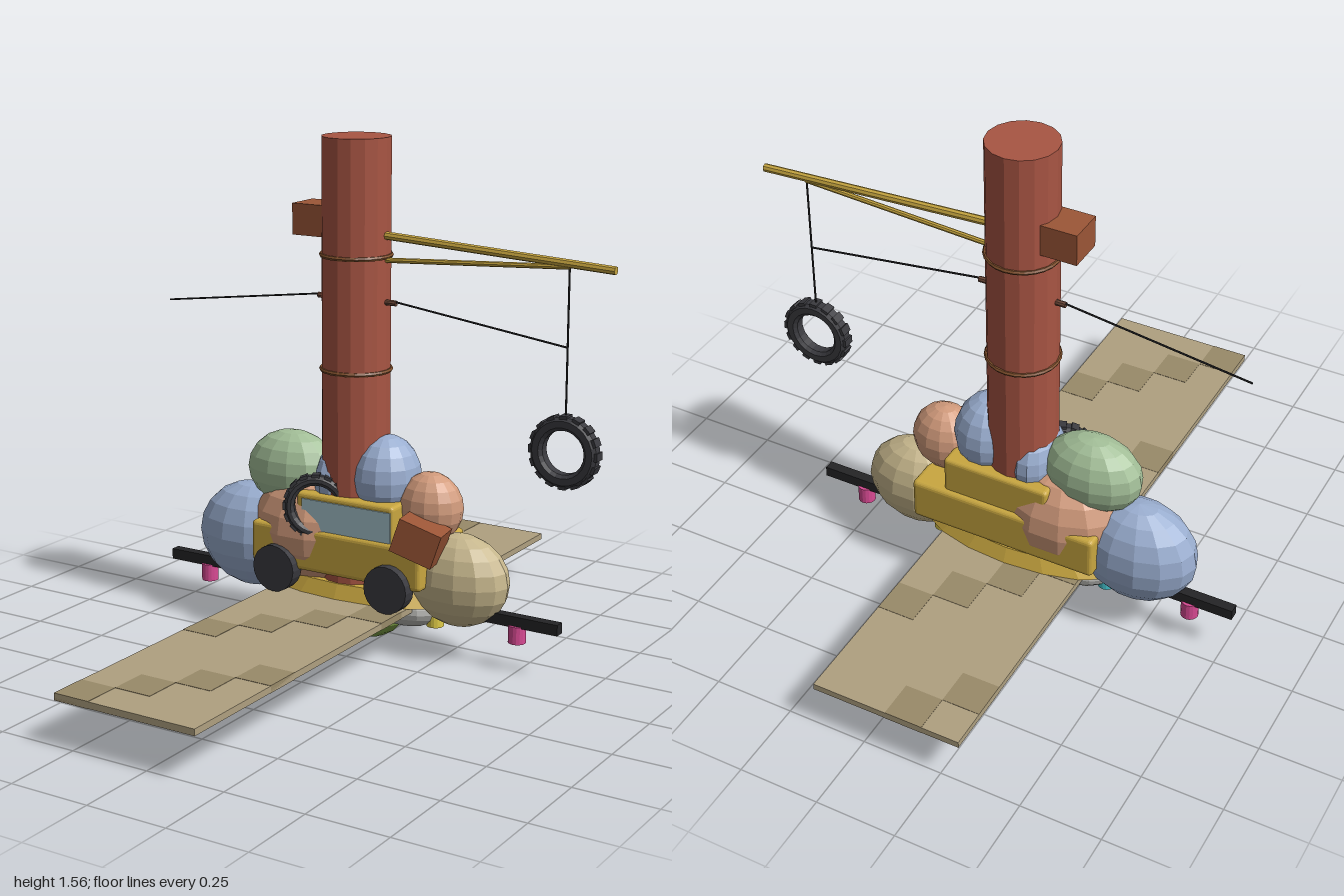
import * as THREE from 'three';
import { RoundedBoxGeometry } from 'three/addons/geometries/RoundedBoxGeometry.js';

const Z = -0.178; // depth of the main plane
const PX = -0.075; // x of the pole

const mat = (color, flat = true) => new THREE.MeshStandardMaterial({ color, flatShading: flat });
const brick = mat(0xa85543), gold = mat(0xc9a740), dark = mat(0x3a3a3f), black = mat(0x242426);
const crate = mat(0x9c5637), pink = mat(0xd84a93), grey = mat(0xb4b4b0);
const blue = mat(0x9aaed0), green = mat(0xa3bf98), orange = mat(0xd29b7c), tan = mat(0xc6b68c);

export function createModel() {
  const root = new THREE.Group();
  root.name = 'model';

  const add = (name, geo, material, x, y, z, parent = root) => {
    const m = new THREE.Mesh(geo, material);
    m.name = name;
    m.position.set(x, y, z);
    parent.add(m);
    return m;
  };
  const box = (name, material, x, y, z, w, h, d) =>
    add(name, new THREE.BoxGeometry(w, h, d), material, x, y, z);
  const cyl = (name, material, x, y, z, r, h, n = 16) =>
    add(name, new THREE.CylinderGeometry(r, r, h, n), material, x, y, z);
  const blob = (name, material, x, y, rx, ry, rz) =>
    add(name, new THREE.SphereGeometry(1, 14, 10), material, x, y, Z).scale.set(rx, ry, rz);
  // straight rod between two points in the main plane
  const rod = (name, material, x1, y1, x2, y2, r, n = 8) => {
    const m = cyl(name, material, (x1 + x2) / 2, (y1 + y2) / 2, Z, r, Math.hypot(x2 - x1, y2 - y1), n);
    m.rotation.z = Math.atan2(y2 - y1, x2 - x1) - Math.PI / 2;
    return m;
  };
  // tyre with its axle along z
  const tyre = (name, x, y, z, R, r, w) => {
    const g = new THREE.Group();
    g.name = name;
    g.position.set(x, y, z);
    root.add(g);
    const h = w / 2;
    const profile = [[r, -h * 0.6], [r + 0.01, -h], [R - 0.014, -h], [R - 0.004, -h * 0.6],
      [R - 0.004, h * 0.6], [R - 0.014, h], [r + 0.01, h], [r, h * 0.6], [r, -h * 0.6]]
      .map(p => new THREE.Vector2(...p));
    add('tyreRing', new THREE.LatheGeometry(profile, 24), dark, 0, 0, 0, g).rotation.x = Math.PI / 2;
    for (let i = 0; i < 16; i++) {
      const a = (i / 16) * Math.PI * 2;
      add('tread', new THREE.BoxGeometry(0.012, 0.024, w * 0.8), dark,
        Math.cos(a) * (R - 0.006), Math.sin(a) * (R - 0.006), 0, g).rotation.z = a;
    }
    return g;
  };

  // Long walkway with a diagonal pattern of darker tiles
  const W = 0.47, cw = W / 4, cd = 2 / 17;
  box('walkway', mat(0xafa080), PX, 0.144, 0, W, 0.02, 2);
  const tileMat = mat(0x998a69);
  for (let row = 0; row < 17; row++)
    for (let col = 0; col < 4; col++)
      if ((row + col) % 5 === 1)
        box('darkTile', tileMat, PX - W / 2 + cw * (col + 0.5), 0.144, -1 + cd * (row + 0.5), cw, 0.022, cd);

  // Crossbar with small pegs beneath
  box('crossbar', black, -0.0725, 0.153, Z, 1.405, 0.034, 0.032);
  [[-0.635, pink], [-0.36, mat(0x45c4cf)], [0.21, mat(0xe0cc48)], [0.49, pink]]
    .forEach(([x, m]) => cyl('peg', m, x, 0.113, Z, 0.027, 0.055));

  // Rounded underside
  blob('underBush', mat(0x7d9f45), PX, 0.095, 0.167, 0.095, 0.08);
  for (const s of [-1, 1]) blob('underStone', grey, PX + s * 0.175, 0.125, 0.125, 0.055, 0.07);

  // Cluster of boulders round the foot of the pole
  blob('leftBlueBoulder', blue, -0.458, 0.275, 0.19, 0.17, 0.125);
  blob('leftGreenBoulder', green, -0.305, 0.51, 0.158, 0.125, 0.1);
  blob('orangeBoulder', orange, -0.22, 0.335, 0.215, 0.18, 0.155);
  blob('innerBlueBoulder', blue, -0.125, 0.5, 0.075, 0.125, 0.11);
  blob('topBlueBoulder', blue, 0.035, 0.535, 0.108, 0.13, 0.112);
  blob('rightOrangeBoulder', orange, 0.19, 0.46, 0.105, 0.11, 0.085);
  blob('tanBoulder', tan, 0.29, 0.248, 0.167, 0.145, 0.108);
  blob('innerGreenBoulder', green, 0.05, 0.31, 0.16, 0.13, 0.1);

  // Flared skirt under the car
  add('skirt', new THREE.CylinderGeometry(0.85, 1, 0.045, 16), gold, PX, 0.178, Z).scale.set(0.335, 1, 0.13);

  // Pole with bands, peg bar and crate
  cyl('pole', brick, PX, 0.86, Z, 0.106, 1.41);
  for (const y of [0.86, 1.21])
    add('poleBand', new THREE.TorusGeometry(0.106, 0.007, 6, 24), mat(0x80502c), PX, y, Z).rotation.x = Math.PI / 2;
  rod('pegBar', mat(0x6a4636), -0.21, 1.073, 0.065, 1.073, 0.009);
  box('poleCrate', crate, -0.215, 1.308, Z - 0.005, 0.112, 0.096, 0.112);

  // Boom, brace, wires and hanging tyre
  rod('boom', gold, 0.02, 1.275, 0.775, 1.237, 0.0125);
  rod('boomBrace', gold, 0.02, 1.2, 0.632, 1.235, 0.008);
  rod('leftWire', black, -0.2, 1.078, -0.775, 1.002, 0.003, 6);
  rod('rightWire', black, 0.055, 1.078, 0.632, 1.002, 0.003, 6);
  rod('hangingRope', black, 0.632, 1.235, 0.632, 0.79, 0.003, 6);
  tyre('hangingTyre', 0.632, 0.695, Z, 0.11, 0.066, 0.046);

  // Car
  add('carBody', new RoundedBoxGeometry(0.606, 0.135, 0.28, 2, 0.014), gold, PX + 0.003, 0.298, -0.18);
  add('carCabin', new RoundedBoxGeometry(0.345, 0.14, 0.25, 2, 0.012), gold, -0.043, 0.408, -0.178);
  box('carWindow', mat(0xa5c3cb), -0.035, 0.413, -0.055, 0.315, 0.095, 0.012);
  for (const x of [-0.275, 0.127])
    cyl('carWheel', dark, x, 0.23, -0.035, 0.074, 0.046, 20).rotation.x = Math.PI / 2;

  // Loose tyre and crate leaning on the car
  tyre('leaningTyre', -0.145, 0.44, -0.06, 0.103, 0.068, 0.036).rotation.y = 0.42;
  box('leaningCrate', crate, 0.217, 0.39, -0.07, 0.138, 0.108, 0.1).rotation.set(0, 0.17, -0.32);

  return root;
}
